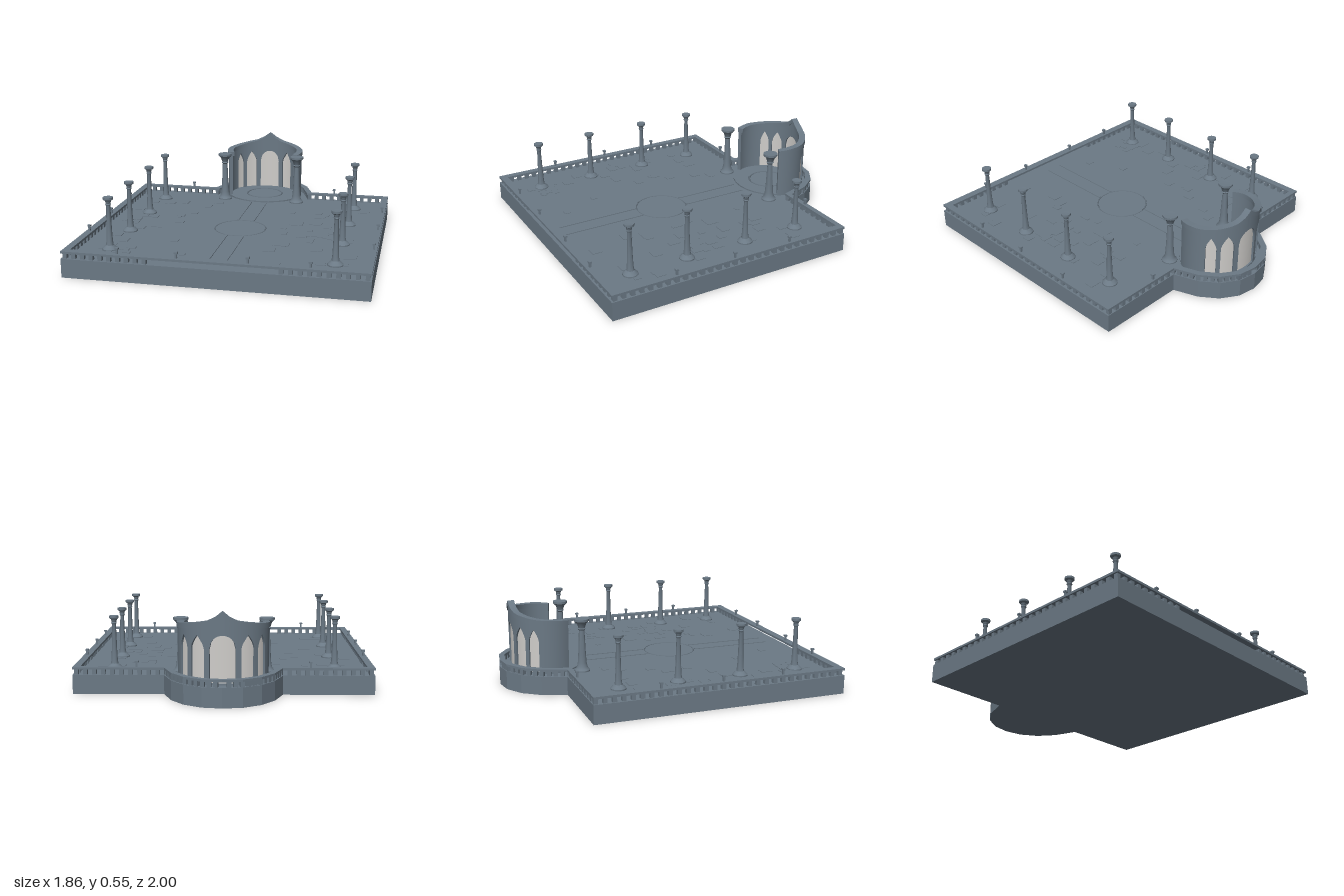
import * as THREE from 'three';
import { toCreasedNormals } from 'three/addons/utils/BufferGeometryUtils.js';

const stone = new THREE.MeshStandardMaterial({ color: 0x6b7985 });
stone.name = 'slate stone';
const pane = new THREE.MeshStandardMaterial({ color: 0xcfcdca, side: THREE.DoubleSide });
pane.name = 'pale window';

const FLOOR = 0.12, RAIL = 0.153, RAIL_TOP = 0.167;

// Half outlines (x, z) from the front centre round to the apse tip
const outerHalf = [[0.93, 1], [0.93, -0.645], [0.365, -0.645], [0.31, -0.8], [0.23, -0.91], [0.12, -0.98], [0, -1]];
const innerHalf = [[0.885, 0.95], [0.885, -0.61], [0.335, -0.61], [0.28, -0.775], [0.205, -0.88], [0.11, -0.945], [0, -0.965]];
const mirror = half => [...half, ...half.slice(0, -1).reverse().map(([x, z]) => [-x, z])];
const toPoints = half => mirror(half).map(([x, z]) => new THREE.Vector2(x, -z));

function slab(half, holeHalf, y0, y1) {
  const shape = new THREE.Shape(toPoints(half));
  if (holeHalf) shape.holes.push(new THREE.Path(toPoints(holeHalf)));
  const g = new THREE.ExtrudeGeometry(shape, { depth: y1 - y0, bevelEnabled: false });
  return g.rotateX(-Math.PI / 2).translate(0, y0, 0);
}

function add(parent, name, geometry, material = stone, x = 0, y = 0, z = 0) {
  const m = new THREE.Mesh(geometry, material);
  m.name = name;
  m.position.set(x, y, z);
  parent.add(m);
  return m;
}

// Curved pavilion: angle p runs from the back centre, r offsets the ellipse
const AX = 0.275, BZ = 0.232, ZC = -0.695, END = 1.98;
const onWall = (p, r, y) => [(AX + r) * Math.sin(p), y, ZC - (BZ + r) * Math.cos(p)];
const profile = [[0, 0.55], [0.045, 0.517], [0.1, 0.492], [0.2, 0.475], [0.3, 0.458]];
function rimHeight(p) {
  if (Math.abs(p) > Math.PI / 2) return 0.461 - 0.02 * (Math.abs(p) - Math.PI / 2);
  const x = Math.abs(AX * Math.sin(p));
  const i = profile.findIndex((q, k) => k > 0 && x <= q[0]);
  const [a, b] = [profile[i - 1], profile[i]];
  return a[1] + (b[1] - a[1]) * (x - a[0]) / (b[0] - a[0]);
}

function meshFromQuads(quads) {
  const pos = [];
  for (const [a, b, c, d] of quads) pos.push(...a, ...b, ...c, ...a, ...c, ...d);
  const g = new THREE.BufferGeometry();
  g.setAttribute('position', new THREE.Float32BufferAttribute(pos, 3));
  g.computeVertexNormals();
  return g;
}

// Solid band between a lower and an upper curve; samples are [angle, low, high]
function curvedBand(samples, rIn, rOut) {
  const quads = [];
  const corners = ([p, lo, hi]) => [onWall(p, rOut, lo), onWall(p, rIn, lo), onWall(p, rIn, hi), onWall(p, rOut, hi)];
  for (let i = 0; i + 1 < samples.length; i++) {
    const [ol0, il0, ih0, oh0] = corners(samples[i]);
    const [ol1, il1, ih1, oh1] = corners(samples[i + 1]);
    quads.push([ol1, ol0, oh0, oh1], [il0, il1, ih1, ih0], [ih0, ih1, oh1, oh0], [ol0, ol1, il1, il0]);
  }
  quads.push(corners(samples[0]), corners(samples[samples.length - 1]).reverse());
  return toCreasedNormals(meshFromQuads(quads), 0.6);
}

// Windows as [start, end, spring height, top, pointed]
const sideWindows = [[0.407, 0.747, 0.33, 0.41, true], [0.856, 1.133, 0.33, 0.405, true]];
const windows = [
  ...sideWindows.map(([a, b, ...r]) => [-b, -a, ...r]).reverse(),
  [-0.287, 0.287, 0.33, 0.412, false],
  ...sideWindows,
];
function archSamples([a, b, spring, top, pointed]) {
  const out = [];
  for (let i = 0; i <= 16; i++) {
    const t = i / 8 - 1;
    const f = pointed ? Math.pow(1 - Math.abs(t), 0.65) : Math.sqrt(1 - t * t);
    out.push([a + (b - a) * i / 16, spring + (top - spring) * f]);
  }
  return out;
}

function buildPavilion() {
  const g = new THREE.Group();
  g.name = 'pavilion';
  const wall = [];
  const pier = (from, to) => {
    const n = Math.max(2, Math.ceil((to - from) / 0.07));
    for (let i = 0; i <= n; i++) {
      const p = from + (to - from) * i / n;
      wall.push([p, FLOOR, rimHeight(p)]);
    }
  };
  let last = -END;
  for (const w of windows) {
    pier(last, w[0]);
    const arch = archSamples(w);
    for (const [p, y] of arch) wall.push([p, y, rimHeight(p)]);
    last = w[1];
    const quads = [];
    for (let i = 0; i < 16; i++) {
      const [p, y] = arch[i], [q, v] = arch[i + 1];
      quads.push([onWall(q, -0.012, FLOOR), onWall(p, -0.012, FLOOR), onWall(p, -0.012, y), onWall(q, -0.012, v)]);
    }
    add(g, 'windowPane', meshFromQuads(quads), pane);
  }
  pier(last, END);
  add(g, 'pavilionWall', curvedBand(wall, -0.025, 0));

  // Cornice along the rising rim
  const rim = [];
  for (let i = 0; i <= 72; i++) {
    const p = -END + 2 * END * i / 72, h = rimHeight(p);
    rim.push([p, h - 0.028, h + 0.003]);
  }
  add(g, 'cornice', curvedBand(rim, -0.037, 0.006));

  // Round floor step with a raised ring
  const step = add(g, 'pavilionStep', new THREE.CylinderGeometry(1, 1, 0.01, 24), stone, 0, FLOOR + 0.004, ZC);
  step.scale.set(0.268, 1, 0.233);
  add(g, 'floorRing', new THREE.TorusGeometry(0.13, 0.006, 4, 24).rotateX(Math.PI / 2), stone, 0, FLOOR + 0.009, ZC);
  return g;
}

// Turned column: base radius, shaft radius, capital radius, capital height, top
function columnGeometry(base, shaft, cap, capH, top) {
  const p = [[0, FLOOR], [base, FLOOR], [base, 0.128], [base * 0.8, 0.138], [shaft * 1.6, 0.15], [shaft * 1.35, 0.175],
    [shaft * 1.15, 0.24], [shaft * 0.85, top - capH - 0.01], [shaft * 1.2, top - capH], [shaft, top - capH + 0.006],
    [cap * 0.62, top - capH * 0.5], [cap, top - 0.014], [cap, top], [cap * 0.7, top], [0, top - 0.004]];
  return toCreasedNormals(new THREE.LatheGeometry(p.map(([x, y]) => new THREE.Vector2(x, y)), 16), 0.6);
}

function buildBalustrade() {
  const g = new THREE.Group();
  g.name = 'balustrade';
  add(g, 'handrail', slab(outerHalf, innerHalf, RAIL, RAIL_TOP));

  // Balusters follow the middle of the rail; the front centre stays open
  const mid = outerHalf.map(([x, z], i) => [(x + innerHalf[i][0]) / 2, (z + innerHalf[i][1]) / 2]);
  const runs = [[0.41, mid[0][1]], ...mid];
  const post = new THREE.BoxGeometry(0.026, RAIL - FLOOR, 0.026);
  for (const s of [1, -1]) {
    for (let i = 0; i + 1 < runs.length; i++) {
      const [a, b] = [runs[i], runs[i + 1]];
      const dx = b[0] - a[0], dz = b[1] - a[1];
      const n = Math.round(Math.hypot(dx, dz) / (i > 2 ? 0.045 : 0.058));
      for (let k = 0; k < n; k++) {
        const m = add(g, 'baluster', post, stone, s * (a[0] + dx * k / n), (RAIL + FLOOR) / 2, a[1] + dz * k / n);
        m.rotation.y = -s * Math.atan2(dz, dx);
      }
    }
    // Small finials on the rail
    const spots = [[0.58, 0.972], [0.215, 0.972], [0.91, 0.575], [0.91, 0.175], [0.91, -0.225], [0.535, -0.628]];
    for (const [x, z] of spots) {
      add(g, 'finialStem', new THREE.BoxGeometry(0.012, 0.03, 0.012), stone, s * x, RAIL_TOP + 0.013, z);
      add(g, 'finialCap', new THREE.BoxGeometry(0.02, 0.011, 0.02), stone, s * x, 0.2, z);
    }
  }
  return g;
}

// Low paving: central circle, path and scattered slabs
function buildPaving() {
  const g = new THREE.Group();
  g.name = 'paving';
  add(g, 'centreRing', new THREE.TorusGeometry(0.17, 0.004, 4, 32).rotateX(Math.PI / 2), stone, 0, FLOOR, 0.18);
  for (const s of [1, -1]) {
    add(g, 'pathEdge', new THREE.BoxGeometry(0.012, 0.005, 0.45), stone, s * 0.055, FLOOR + 0.002, -0.215);
    add(g, 'pathEdge', new THREE.BoxGeometry(0.012, 0.005, 0.55), stone, s * 0.055, FLOOR + 0.002, 0.625);
  }
  let seed = 7;
  const rnd = () => (seed = (seed * 16807) % 2147483647) / 2147483647;
  for (let i = 0; i < 70; i++) {
    const x = (0.24 + 0.56 * rnd()) * (i % 2 ? 1 : -1), z = -0.38 + 1.25 * rnd();
    add(g, 'pavingSlab', new THREE.BoxGeometry(0.03 + 0.06 * rnd(), 0.004, 0.03 + 0.05 * rnd()), stone, x, FLOOR + 0.001, z);
  }
  return g;
}

export function createModel() {
  const model = new THREE.Group();
  model.name = 'terrace';
  add(model, 'base', slab(outerHalf, null, 0, FLOOR));
  model.add(buildBalustrade(), buildPaving(), buildPavilion());

  // Columns along both sides, and a stouter pair before the pavilion
  const tall = columnGeometry(0.048, 0.015, 0.031, 0.045, 0.456);
  const stout = columnGeometry(0.05, 0.021, 0.048, 0.065, 0.462);
  for (const s of [1, -1]) {
    for (const z of [-0.42, -0.035, 0.385, 0.77]) add(model, 'sideColumn', tall, stone, s * 0.7, 0, z);
    add(model, 'pavilionColumn', stout, stone, s * 0.268, 0, -0.52);
  }
  return model;
}
